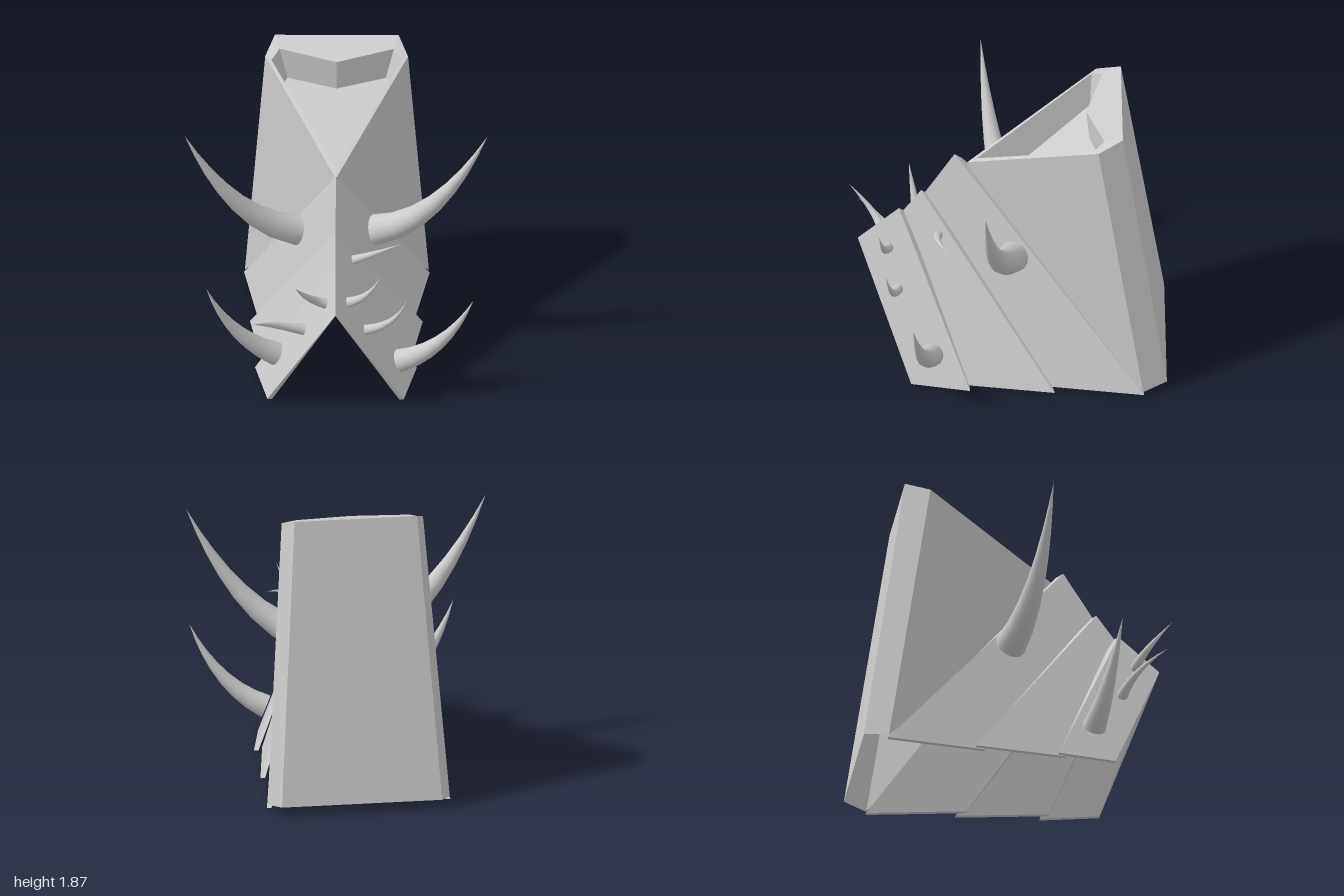
import * as THREE from 'three';

const material = new THREE.MeshStandardMaterial({ color: 0xcccccc, roughness: 0.8 });
const sheet = new THREE.MeshStandardMaterial({ color: 0xcccccc, roughness: 0.8, side: THREE.DoubleSide });

// Four-cornered faces given for the +x half, mirrored to the -x half
function mirroredFaces(name, quads) {
  const positions = [], normals = [];
  const addQuad = (corners) => {
    const [a, b, c, d] = corners.map((p) => new THREE.Vector3(...p));
    const normal = c.clone().sub(a).cross(d.clone().sub(b)).normalize();
    for (const p of [a, b, c, a, c, d]) {
      positions.push(p.x, p.y, p.z);
      normals.push(normal.x, normal.y, normal.z);
    }
  };
  for (const quad of quads) {
    addQuad(quad);
    addQuad(quad.map(([x, y, z]) => [-x, y, z]).reverse());
  }
  const geometry = new THREE.BufferGeometry();
  geometry.setAttribute('position', new THREE.Float32BufferAttribute(positions, 3));
  geometry.setAttribute('normal', new THREE.Float32BufferAttribute(normals, 3));
  const mesh = new THREE.Mesh(geometry, sheet);
  mesh.name = name;
  return mesh;
}

// Folded roof-like plate with thickness, from its ridge and its lower edge
function foldedPlate(name, ridgeFront, ridgeRear, footRear, footFront) {
  const under = ([x, y, z]) => [x, y - 0.03, z - 0.045];
  const inset = ([x, y, z]) => [x - 0.03, y, z];
  const rf = under(ridgeFront), rr = under(ridgeRear);
  const fr = inset(footRear), ff = inset(footFront);
  return mirroredFaces(name, [
    [footFront, footRear, ridgeRear, ridgeFront],
    [rf, rr, fr, ff],
    [footRear, fr, rr, ridgeRear],
    [footFront, ridgeFront, rf, ff],
    [footFront, ff, fr, footRear],
  ]);
}

// Curved horn: a tube tapered to a point, closed at its base
function horn(name, base, bend, tip, radius) {
  const segments = 7, sides = 16;
  const path = new THREE.QuadraticBezierCurve3(...[base, bend, tip].map((p) => new THREE.Vector3(...p)));
  const geometry = new THREE.TubeGeometry(path, segments, radius, sides, false);
  const position = geometry.attributes.position;
  const v = new THREE.Vector3();
  for (let i = 0; i < position.count; i++) {
    const t = Math.floor(i / (sides + 1)) / segments;
    const centre = path.getPointAt(t);
    v.fromBufferAttribute(position, i).sub(centre).multiplyScalar(1 - t).add(centre);
    position.setXYZ(i, v.x, v.y, v.z);
  }
  const cap = new THREE.Mesh(new THREE.CircleGeometry(radius, sides), material);
  cap.position.copy(path.getPointAt(0));
  cap.quaternion.setFromUnitVectors(new THREE.Vector3(0, 0, 1), path.getTangentAt(0).negate());
  cap.name = 'hornBase';
  const shaft = new THREE.Mesh(geometry, material);
  shaft.name = 'hornShaft';
  const group = new THREE.Group();
  group.name = name;
  group.add(shaft, cap);
  return group;
}

export function createModel() {
  const model = new THREE.Group();
  model.name = 'hornedCollar';

  // Outer corners of the tall body, open at the bottom
  const frontTop = [0, 1.42, 0.25], frontLow = [0, 1.2, 0.28];
  const sideTop = [0.45, 1.81, -0.57], sideLow = [0.58, 0.03, -0.85];
  const backTop = [0.39, 1.87, -0.725], backLow = [0.51, 0.06, -1];
  const midTop = [0, 1.87, -0.725], midLow = [0, 0.06, -1];
  // Recess in the top: rim corners and floor corners
  const rim = [[0, 1.45, 0.19], [0.41, 1.8, -0.54], [0.36, 1.84, -0.61], [0, 1.81, -0.5]];
  const floor = [[0, 1.25, 0.08], [0.35, 1.6, -0.53], [0.31, 1.63, -0.6], [0, 1.6, -0.52]];
  const outer = [frontTop, sideTop, backTop, midTop];

  model.add(mirroredFaces('bodyWalls', [
    [frontLow, sideLow, sideTop, frontTop],
    [sideLow, backLow, backTop, sideTop],
    [backLow, midLow, midTop, backTop],
  ]));

  const rimFaces = [], recessFaces = [floor];
  for (let i = 0; i < 3; i++) {
    rimFaces.push([outer[i], outer[i + 1], rim[i + 1], rim[i]]);
    recessFaces.push([rim[i], rim[i + 1], floor[i + 1], floor[i]]);
  }
  model.add(mirroredFaces('topRim', rimFaces), mirroredFaces('topRecess', recessFaces));

  // Three folded plates, each tucked under the one in front
  model.add(
    foldedPlate('rearPlate', [0, 1.07, 0.59], [0, 1.485, 0.33], [0.585, 0.01, -0.855], [0.48, 0.01, -0.23]),
    foldedPlate('middlePlate', [0, 0.94, 0.73], [0, 1.205, 0.54], [0.545, 0.005, -0.29], [0.45, 0.005, 0.29]),
    foldedPlate('frontPlate', [0, 0.835, 0.94], [0, 1.065, 0.68], [0.51, 0, 0.24], [0.43, 0, 0.61]),
  );

  // Large horns, mirrored
  for (const [side, s] of [['left', 1], ['right', -1]]) {
    model.add(horn(side + 'LargeHorn', [s * 0.245, 0.855, -0.035], [s * 0.64, 0.99, 0.1], [s * 0.955, 1.675, 0.15], 0.1));
  }
  // Medium horns, set slightly unevenly
  model.add(
    horn('leftMediumHorn', [0.4, 0.205, 0.48], [0.7, 0.33, 0.55], [0.87, 0.74, 0.605], 0.075),
    horn('rightMediumHorn', [-0.375, 0.255, 0.48], [-0.67, 0.42, 0.55], [-0.815, 0.82, 0.605], 0.075),
  );
  // Small horns
  const smallHorns = [
    [[0.11, 0.93, 0.435], [0.27, 1.0, 0.46], [0.41, 1.01, 0.375], 0.03],
    [[0.08, 0.815, 0.75], [0.22, 0.86, 0.78], [0.285, 1.045, 0.81], 0.034],
    [[0.19, 0.57, 0.69], [0.4, 0.63, 0.73], [0.455, 0.86, 0.77], 0.034],
    [[-0.06, 0.825, 0.78], [-0.19, 0.87, 0.8], [-0.25, 1.07, 0.99], 0.034],
    [[-0.2, 0.565, 0.68], [-0.43, 0.64, 0.72], [-0.52, 0.76, 0.93], 0.036],
  ];
  smallHorns.forEach((h, i) => model.add(horn('smallHorn' + (i + 1), ...h)));

  return model;
}
